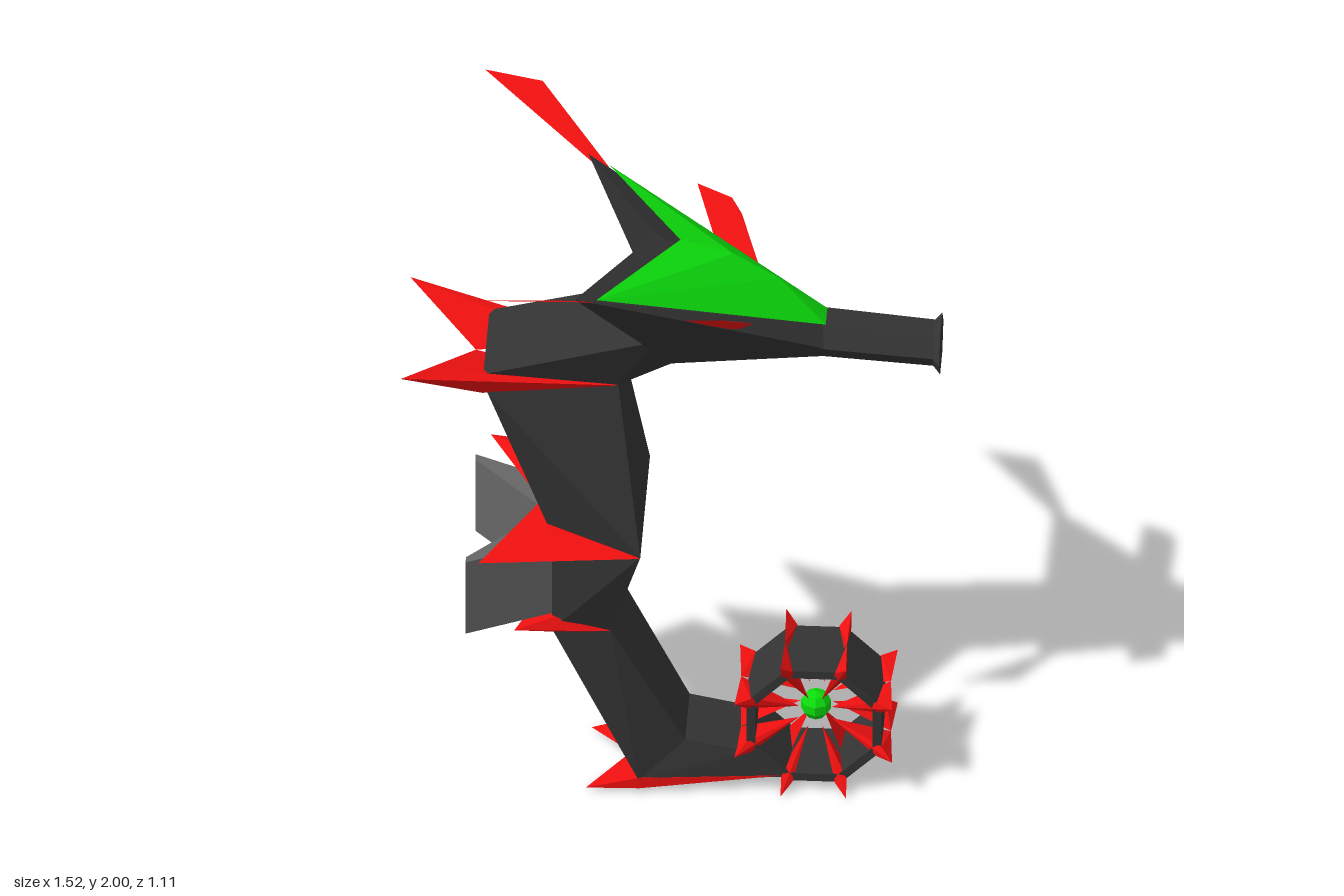
import * as THREE from 'three';
import { ConvexGeometry } from 'three/addons/geometries/ConvexGeometry.js';

const paint = (color) => new THREE.MeshStandardMaterial({ color, flatShading: true, side: THREE.DoubleSide });

export function createModel() {
  const model = new THREE.Group();
  const dark = paint(0x333333), red = paint(0xf01010), green = paint(0x0cdc0c), grey = paint(0x666666);

  const add = (name, geometry, material, parent = model) => {
    const mesh = new THREE.Mesh(geometry, material);
    mesh.name = name;
    parent.add(mesh);
    return mesh;
  };
  const hull = (points) => new ConvexGeometry(points.map((p) => new THREE.Vector3(...p)));
  const flip = (points) => points.map(([x, y, z]) => [x, y, -z]);
  const both = (name, points, material) => {
    add(name + 'Left', hull(points), material);
    add(name + 'Right', hull(flip(points)), material);
  };

  // Body: sections of [back x, y, half width, front x, y, half width]
  const sections = [
    [-0.04, 1.58, 0.15, 0.0, 1.47, 0.1],
    [-0.53, 1.45, 0.155, -0.15, 1.39, 0.1],
    [-0.52, 1.39, 0.155, -0.15, 1.385, 0.1],
    [-0.335, 0.89, 0.15, -0.08, 0.89, 0.245],
    [-0.335, 0.56, 0.15, -0.17, 0.56, 0.145],
    [-0.09, 0.04, 0.15, 0.04, 0.16, 0.11],
    [0.32, 0.04, 0.11, 0.215, 0.125, 0.11],
  ];
  const corners = ([bx, by, bz, fx, fy, fz]) =>
    [[bx, by, bz], [bx, by, -bz], [fx, fy, fz], [fx, fy, -fz]];
  const names = ['neck', 'shoulder', 'chest', 'belly', 'lowerBody', 'tailBase'];
  names.forEach((name, i) =>
    add(name, hull([...corners(sections[i]), ...corners(sections[i + 1])]), dark));

  // Curled tail: octagonal ring with a hub
  const cx = 0.405, cy = 0.22;
  const octagon = (shape, r) => {
    const pts = [];
    for (let i = 0; i < 8; i++) {
      const a = (i + 0.5) * Math.PI / 4;
      pts.push(new THREE.Vector2(cx + r * Math.cos(a), cy + r * Math.sin(a)));
    }
    return shape.setFromPoints(pts);
  };
  const ring = octagon(new THREE.Shape(), 0.207);
  ring.holes.push(octagon(new THREE.Path(), 0.18));
  add('tailRing', new THREE.ExtrudeGeometry(ring, { depth: 0.22, bevelEnabled: false }), dark).position.z = -0.11;
  add('tailHub', new THREE.SphereGeometry(0.045, 8, 5), green).position.set(cx, cy, 0);

  // Forked fin: each half runs from the front along the body to a swept tip
  const fin = (name, back, front, tip, [zb, zf, zt], h) => {
    const d = new THREE.Vector2(back[0] - front[0], back[1] - front[1]).normalize();
    const [nx, ny] = [-d.y * h, d.x * h];
    both(name, [
      [...front, zf], [...tip, zt],
      [back[0] + nx, back[1] + ny, zb], [back[0] - nx, back[1] - ny, zb],
      [back[0] + d.x * 0.03, back[1] + d.y * 0.03, 0],
    ], red);
  };
  fin('shoulderFin', [-0.53, 1.42], [-0.15, 1.39], [-0.76, 1.49], [0.155, 0.105, 0.245], 0.035);
  fin('chestFin', [-0.345, 0.9], [-0.08, 0.89], [-0.535, 0.9], [0.16, 0.25, 0.31], 0.032);
  fin('bellyFin', [-0.335, 0.585], [-0.17, 0.56], [-0.44, 0.585], [0.16, 0.15, 0.195], 0.026);
  fin('tailFin', [-0.09, 0.03], [0.32, 0.045], [-0.24, 0.005], [0.15, 0.11, 0.145], 0.018);
  for (let i = 0; i < 8; i++) {
    const a = (i + 0.5) * Math.PI / 4;
    const at = (r) => [cx + r * Math.cos(a), cy + r * Math.sin(a)];
    fin('ringSpike' + i, at(0.2), at(0.05), at(0.242), [0.115, 0.04, 0.145], 0.018);
  }

  // Back fin: V shaped in plan
  const vee = new THREE.Shape([
    [-0.32, 0.14], [-0.575, 0.26], [-0.575, 0.235], [-0.36, 0],
    [-0.575, -0.235], [-0.575, -0.26], [-0.32, -0.14],
  ].map((p) => new THREE.Vector2(...p)));
  const backFin = add('backFin', new THREE.ExtrudeGeometry(vee, { depth: 0.25, bevelEnabled: false }), grey);
  backFin.rotation.x = -Math.PI / 2;
  backFin.position.y = 0.615;

  // Head: two mirrored halves leaving a notch at the back
  both('head', [
    [-0.26, 1.865, 0.35], [-0.05, 1.85, 0], [-0.04, 1.58, 0.15], [-0.04, 1.58, 0],
    [0, 1.47, 0.1], [0, 1.47, 0],
    [0.43, 1.58, 0.04], [0.43, 1.58, 0], [0.43, 1.53, 0.085], [0.43, 1.47, 0.04], [0.43, 1.47, 0],
  ], dark);
  both('crown', [
    [-0.2, 1.848, 0.325], [0.02, 1.832, 0], [0.17, 1.79, 0], [0.3, 1.71, 0],
    [0.435, 1.585, 0], [0.435, 1.58, 0.04],
  ], green);

  // Snout: hexagonal, with a flared tip
  const hexagon = (x, y, w, h) =>
    [[w, 0], [w / 2, h], [-w / 2, h], [-w, 0], [-w / 2, -h], [w / 2, -h]].map(([z, dy]) => [x, y + dy, z]);
  add('snout', hull([...hexagon(0.42, 1.527, 0.085, 0.055), ...hexagon(0.745, 1.5, 0.08, 0.052)]), dark);
  add('snoutTip', hull([...hexagon(0.74, 1.5, 0.08, 0.052), ...hexagon(0.76, 1.498, 0.112, 0.068)]), dark);

  // Horns and ear fins: thin blades
  both('horn', [
    [-0.27, 1.865, 0.355], [-0.2, 1.84, 0.325], [-0.25, 1.85, 0.335],
    [-0.4, 1.985, 0.53], [-0.565, 2.0, 0.555],
  ], red);
  both('earFin', [
    [0.11, 1.68, 0.2], [0.24, 1.64, 0.13], [0.2, 1.62, 0.14],
    [0.05, 1.79, 0.33], [0.15, 1.77, 0.295], [0.18, 1.74, 0.26],
  ], red);

  return model;
}
